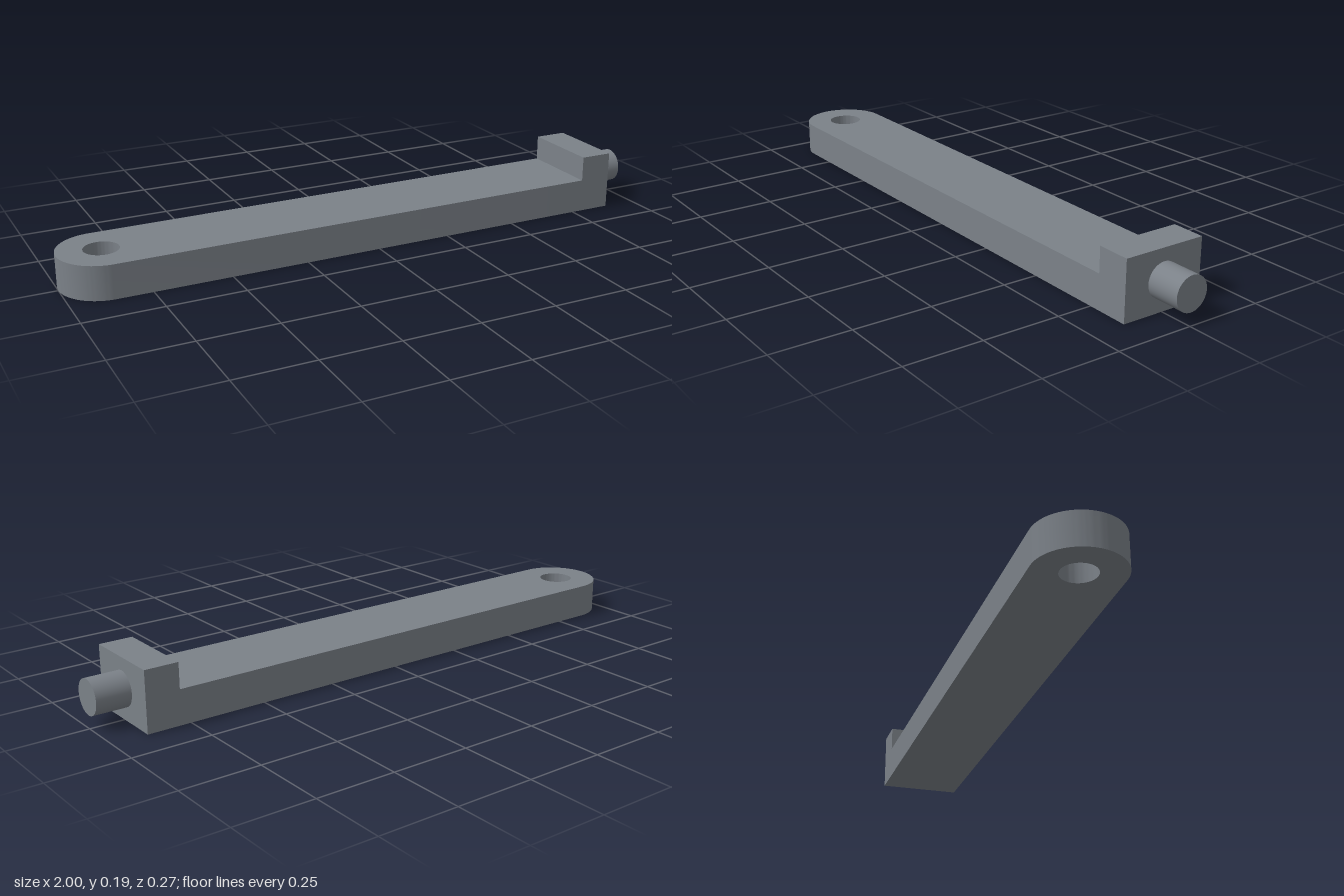
import * as THREE from 'three';
import { toCreasedNormals } from 'three/addons/utils/BufferGeometryUtils.js';

export function createModel() {
  const group = new THREE.Group();
  const material = new THREE.MeshStandardMaterial({ color: 0x7b8188 });
  const halfWidth = 0.137, barHeight = 0.11, blockHeight = 0.192;
  const holeX = -1 + halfWidth, blockStart = 0.782, blockEnd = 0.89;
  const pinRadius = 0.055;

  const add = (name, geometry, x = 0, y = 0) => {
    const mesh = new THREE.Mesh(geometry, material);
    mesh.name = name;
    mesh.position.set(x, y, 0);
    group.add(mesh);
  };

  // Flat bar with a rounded end and a through hole
  const outline = new THREE.Shape();
  outline.moveTo(blockStart, -halfWidth);
  outline.lineTo(blockStart, halfWidth);
  outline.lineTo(holeX, halfWidth);
  outline.absarc(holeX, 0, halfWidth, Math.PI / 2, Math.PI * 1.5, false);
  outline.closePath();
  const hole = new THREE.Path();
  hole.absarc(holeX, 0, pinRadius, 0, Math.PI * 2, true);
  outline.holes.push(hole);
  const bar = new THREE.ExtrudeGeometry(outline, {
    depth: barHeight, bevelEnabled: false, curveSegments: 32,
  });
  bar.rotateX(-Math.PI / 2);
  add('bar', toCreasedNormals(bar, 0.6));

  // Raised block closing the square end
  const blockLength = blockEnd - blockStart;
  add('endBlock', new THREE.BoxGeometry(blockLength, blockHeight, halfWidth * 2),
    blockStart + blockLength / 2, blockHeight / 2);

  // Round pin projecting from the middle of the block
  const pinLength = 1 - blockEnd;
  const pin = new THREE.CylinderGeometry(pinRadius, pinRadius, pinLength, 48);
  pin.rotateZ(-Math.PI / 2);
  add('pin', pin, blockEnd + pinLength / 2, blockHeight / 2);

  return group;
}
